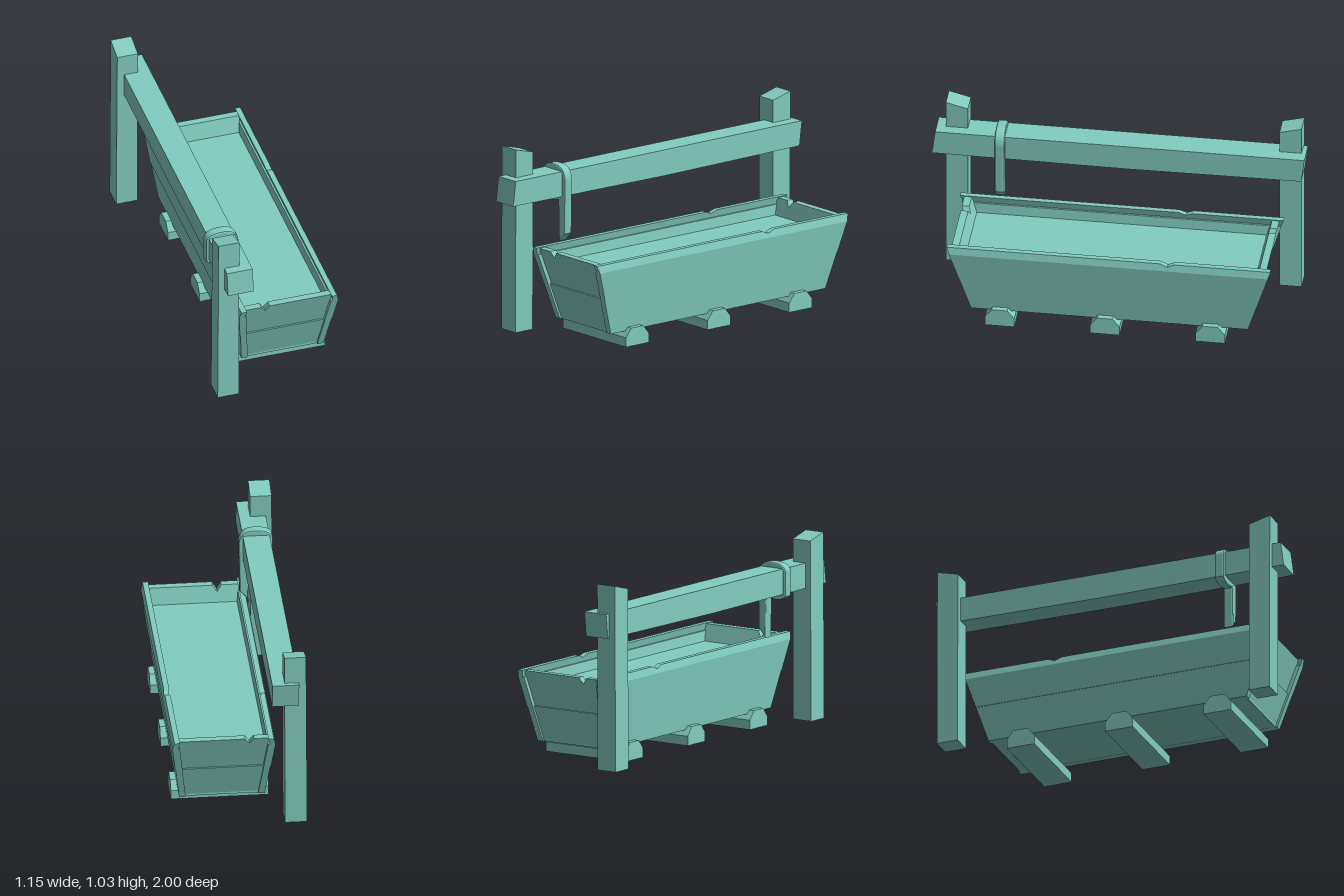
import * as THREE from 'three';

const wood = new THREE.MeshStandardMaterial({ color: 0x82cdc0 });
wood.name = 'teal wood';

function part(name, geometry, parent, x = 0, y = 0, z = 0, turn = 0) {
  const mesh = new THREE.Mesh(geometry, wood);
  mesh.name = name;
  mesh.position.set(x, y, z);
  mesh.rotation.y = turn;
  parent.add(mesh);
  return mesh;
}

// Board cut from an outline, outer face towards +z, leaning by a rule of height
function plank(points, thickness, lean = () => 0) {
  const shape = new THREE.Shape(points.map(([x, y]) => new THREE.Vector2(x, y)));
  const g = new THREE.ExtrudeGeometry(shape, { depth: thickness, bevelEnabled: false });
  const p = g.attributes.position;
  for (let i = 0; i < p.count; i++) p.setZ(i, p.getZ(i) - thickness + lean(p.getY(i)));
  g.computeVertexNormals();
  return g;
}

// Outline of a flared board between two heights, with an optional notch in the top
function flared(y0, y1, half, notch) {
  const top = notch ? [[notch.x + notch.w, y1], [notch.x, y1 - notch.d], [notch.x - notch.w, y1]] : [];
  return [[-half(y0), y0], [half(y0), y0], [half(y1), y1], ...top, [-half(y1), y1]];
}

const BOTTOM = 0.08, SEAM = 0.28, EDGE = 0.445, RIM = 0.485;
const halfLength = y => 0.753 + (y - BOTTOM) * 0.315;
const halfWidth = y => 0.235 + (Math.min(y, EDGE) - BOTTOM) * 0.122 - Math.max(0, y - EDGE) * 0.25;

function buildTrough() {
  const trough = new THREE.Group();
  trough.name = 'trough';
  for (const s of [1, -1]) {
    // long sides: lower plank, upper plank, bevelled rim
    const side = s > 0 ? 'right' : 'left', turn = s * Math.PI / 2;
    const notch = { x: s > 0 ? 0.32 : -0.35, w: 0.04, d: 0.016 };
    part(side + 'LowerPlank', plank(flared(BOTTOM, SEAM, halfLength), 0.036, y => halfWidth(y) - 0.003), trough, 0, 0, 0, turn);
    part(side + 'UpperPlank', plank(flared(SEAM, EDGE, halfLength), 0.04, halfWidth), trough, 0, 0, 0, turn);
    part(side + 'Rim', plank(flared(EDGE, RIM, halfLength, notch), 0.03, halfWidth), trough, 0, 0, 0, turn);
    // ends, set in between the sides
    const end = s > 0 ? 'front' : 'back', endTurn = s > 0 ? 0 : Math.PI;
    const inner = y => halfWidth(y) - 0.025;
    const chip = { x: s > 0 ? -0.127 : 0.14, w: 0.024, d: 0.035 };
    part(end + 'LowerEnd', plank(flared(BOTTOM, SEAM, inner), 0.04, y => halfLength(y) - 0.012), trough, 0, 0, 0, endTurn);
    part(end + 'UpperEnd', plank(flared(SEAM, RIM - 0.005, inner, chip), 0.04, y => halfLength(y) - 0.022), trough, 0, 0, 0, endTurn);
  }
  part('floor', new THREE.BoxGeometry(0.46, 0.02, 1.49), trough, 0, 0.091, 0);
  part('waterSurface', new THREE.BoxGeometry(0.5, 0.008, 1.63), trough, 0, 0.385, 0);
  // skids under the trough
  const profile = [[-0.08, 0], [0.08, 0], [0.08, 0.052], [0.042, 0.1], [-0.042, 0.1], [-0.08, 0.052]];
  for (const z of [0.594, 0.021, -0.552]) part('skid', plank(profile, 0.53), trough, 0.265, 0, z, Math.PI / 2);
  return trough;
}

// Post with a top rising towards its outer side
function postGeometry(out) {
  const g = new THREE.BoxGeometry(0.12, 1, 0.12).toNonIndexed();
  const p = g.attributes.position;
  for (let i = 0; i < p.count; i++) {
    const top = p.getY(i) > 0;
    p.setY(i, top ? 1.017 + out * p.getZ(i) * 0.26 : 0.013);
    if (top) p.setX(i, p.getX(i) * 0.97 + 0.004);
  }
  g.computeVertexNormals();
  return g;
}

function buildRack() {
  const rack = new THREE.Group();
  rack.name = 'hitchingRack';
  part('frontPost', postGeometry(1), rack, -0.272, 0, 0.942);
  part('backPost', postGeometry(-1), rack, -0.28, 0, -0.872);
  // rail, sagging a little in the middle
  const rail = [[-1.07, 0.74], [0, 0.733], [0.94, 0.74], [0.957, 0.877], [-1.052, 0.877]];
  part('rail', plank(rail, 0.145), rack, -0.15, 0, 0, Math.PI / 2);

  // strap wrapped round the rail with a hanging tail
  const s = new THREE.Shape();
  s.moveTo(-0.175, 0.495);
  s.lineTo(-0.141, 0.535);
  s.lineTo(-0.137, 0.72);
  s.lineTo(-0.135, 0.83);
  s.quadraticCurveTo(-0.14, 0.9, -0.215, 0.9);
  s.quadraticCurveTo(-0.3, 0.9, -0.304, 0.86);
  s.lineTo(-0.304, 0.73);
  s.quadraticCurveTo(-0.29, 0.71, -0.24, 0.71);
  s.lineTo(-0.178, 0.722);
  s.closePath();
  const strap = new THREE.ExtrudeGeometry(s, {
    depth: 0.034, bevelSize: 0.008, bevelThickness: 0.01, bevelSegments: 2, curveSegments: 8,
  });
  part('strap', strap, rack, 0, 0, 0.683);
  return rack;
}

export function createModel() {
  const model = new THREE.Group();
  model.name = 'wateringTrough';
  const trough = buildTrough();
  trough.position.set(0.1, 0, 0.035);
  model.add(trough, buildRack());
  model.rotation.y = -0.2515;
  const root = new THREE.Group();
  root.name = 'troughWithRack';
  root.add(model);
  return root;
}
